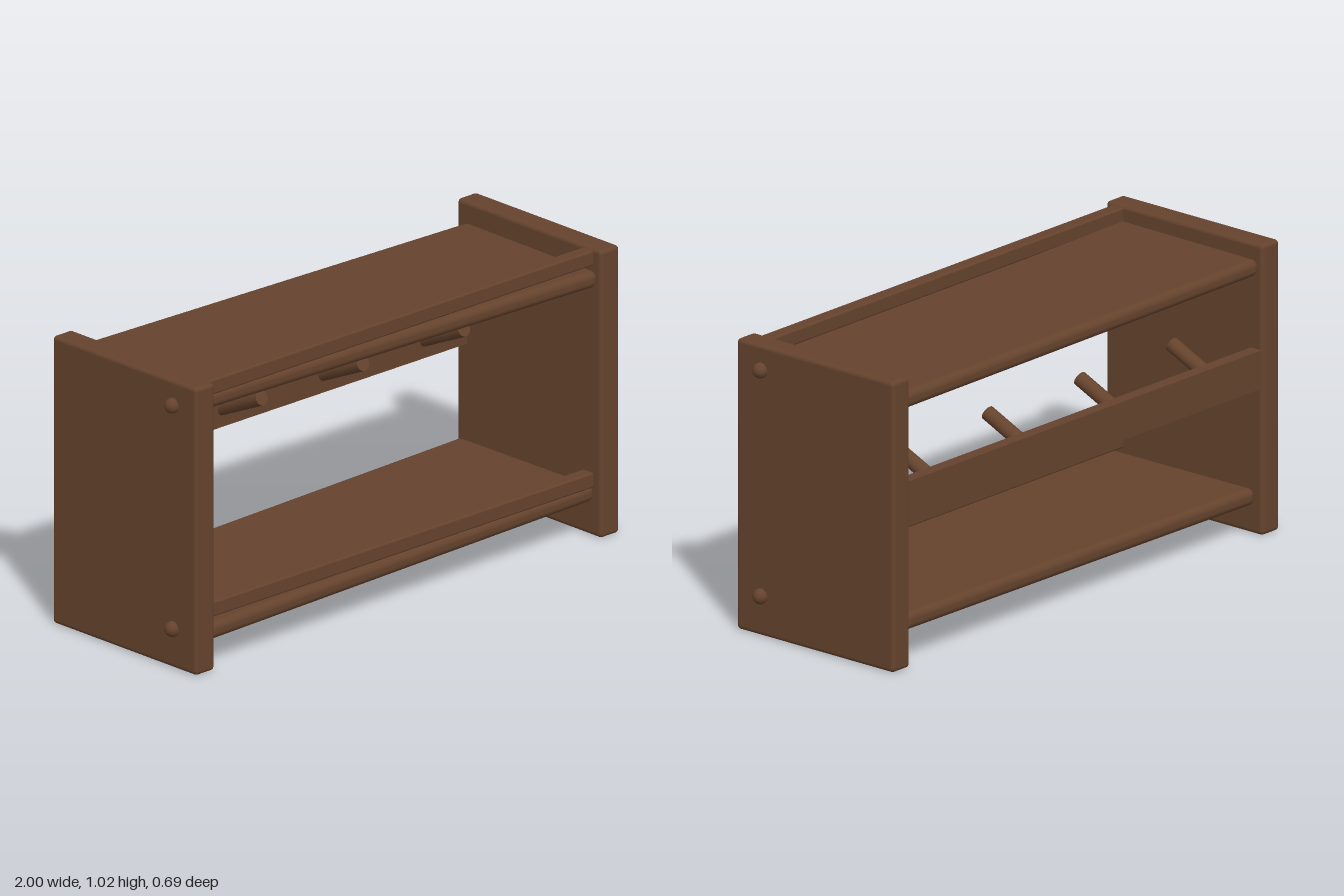
import * as THREE from 'three';
import { RoundedBoxGeometry } from 'three/addons/geometries/RoundedBoxGeometry.js';

export function createModel() {
  const group = new THREE.Group();
  group.name = 'wallShelf';
  const wood = new THREE.MeshStandardMaterial({ color: 0x65432d });
  wood.name = 'brown wood';

  function add(name, geometry, x, y, z) {
    const mesh = new THREE.Mesh(geometry, wood);
    mesh.name = name;
    mesh.position.set(x, y, z);
    group.add(mesh);
    return mesh;
  }
  const board = (w, h, d, r) => new RoundedBoxGeometry(w, h, d, 3, r);

  // Side panels with two domed plugs each
  for (const side of [1, -1]) {
    const label = side > 0 ? 'left' : 'right';
    add(label + 'Panel', board(0.088, 1.017, 0.69, 0.015), side * 0.925, 0.5085, 0);
    for (const y of [0.14, 0.93]) {
      add(label + 'Plug', new THREE.SphereGeometry(0.027, 16, 12), side * 0.973, y, 0.235);
    }
  }

  // Shelves, set very slightly askew, each with a front lip
  const shelves = [
    { name: 'upper', y: 0.925, lipY: 0.985, skew: -1 },
    { name: 'lower', y: 0.139, lipY: 0.199, skew: 1 },
  ];
  for (const s of shelves) {
    const shelf = add(s.name + 'Shelf', board(1.78, 0.06, 0.64, 0.025), 0, s.y, 0);
    shelf.rotation.set(0, s.skew * 0.013, s.skew * 0.0125);
    add(s.name + 'Lip', board(1.765, 0.054, 0.05, 0.007), 0, s.lipY, 0.287);
  }

  // Back rail
  add('backRail', new THREE.BoxGeometry(1.77, 0.135, 0.045), 0, 0.5825, -0.3175);

  // Pegs leaning up and forward out of the rail
  const base = new THREE.Vector3(0, 0.577, -0.31);
  const tip = new THREE.Vector3(0, 0.668, -0.11);
  const axis = tip.clone().sub(base);
  const pegGeometry = new THREE.CylinderGeometry(0.026, 0.026, axis.length(), 16);
  const middle = base.clone().add(tip).multiplyScalar(0.5);
  for (const x of [-0.695, -0.234, 0.228, 0.69]) {
    const peg = add('peg', pegGeometry, x, middle.y, middle.z);
    peg.rotation.x = Math.atan2(axis.z, axis.y);
  }
  return group;
}
